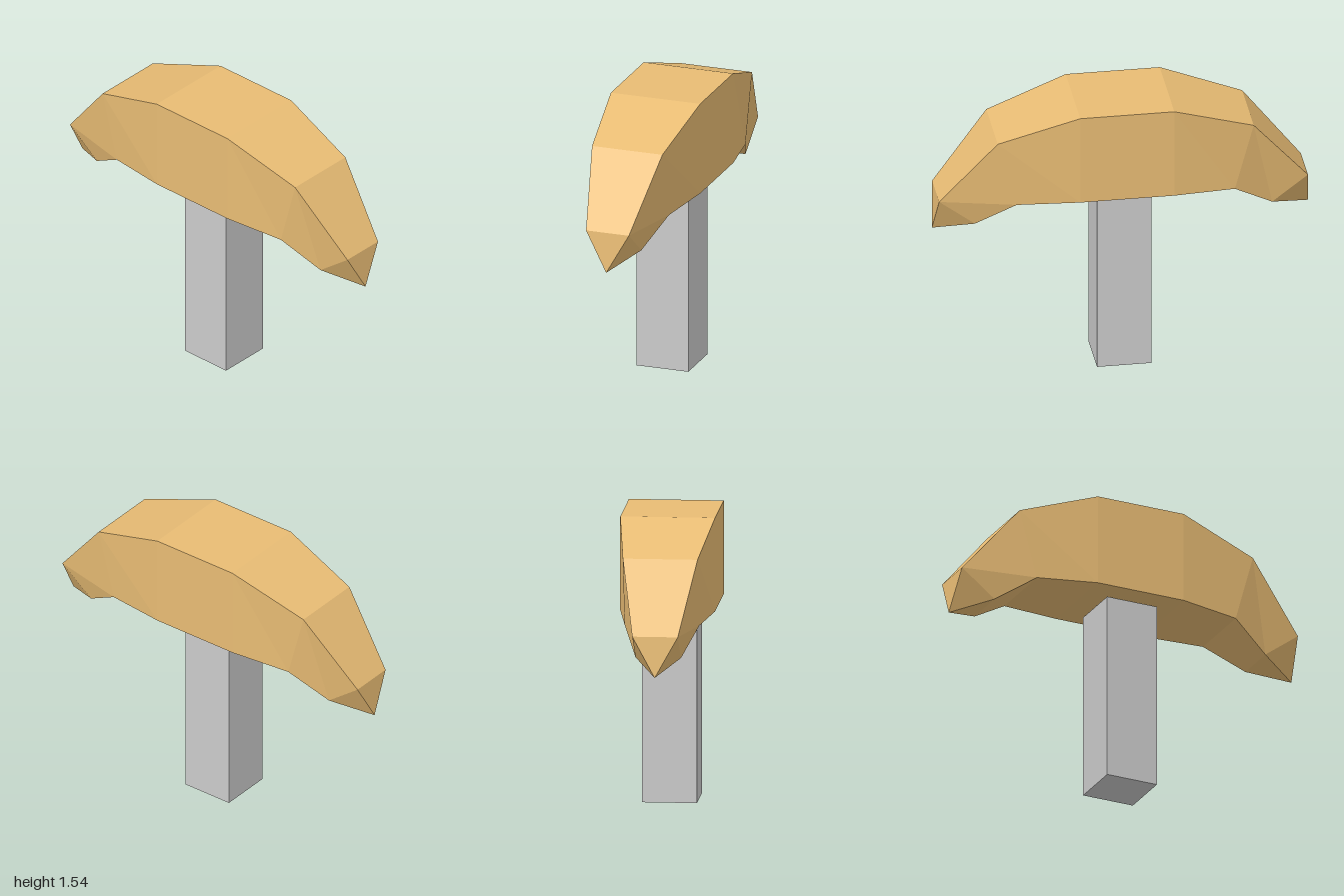
import * as THREE from 'three';

// Half of the head, centre outwards: half width, top [z, y], bottom [z, y]
const HALF = [
  { w: 0.25, top: [0.25, 1.545], bottom: [0.25, 1.045] },
  { w: 0.197, top: [0.68, 1.4], bottom: [0.58, 1.03] },
  { w: 0.12, top: [0.98, 1.04], bottom: [0.79, 0.895] },
  { w: 0, top: [1, 0.825], bottom: [1, 0.825] }, // pointed tip
];

// Four corners of a section, counterclockwise seen from +z
function ring({ w, top, bottom }, side) {
  const corner = (x, [z, y]) => new THREE.Vector3(x, y, z * side);
  return [corner(-w, bottom), corner(w, bottom), corner(w, top), corner(-w, top)];
}

function headGeometry() {
  const rings = [
    ...[...HALF].reverse().map((s) => ring(s, -1)),
    ...HALF.map((s) => ring(s, 1)),
  ];
  const points = [];
  const triangle = (a, b, c) => {
    // Triangles collapsed at the tips are left out
    if (a.equals(b) || b.equals(c) || c.equals(a)) return;
    points.push(a, b, c);
  };
  for (let i = 0; i < rings.length - 1; i++) {
    for (let j = 0; j < 4; j++) {
      const k = (j + 1) % 4;
      const [a, b, c, d] = [rings[i][j], rings[i][k], rings[i + 1][k], rings[i + 1][j]];
      triangle(a, b, c);
      triangle(a, c, d);
    }
  }
  const geometry = new THREE.BufferGeometry().setFromPoints(points);
  geometry.computeVertexNormals();
  return geometry;
}

export function createModel() {
  const model = new THREE.Group();
  model.name = 'pickaxe';

  // Curved double-pointed head
  const head = new THREE.Mesh(
    headGeometry(),
    new THREE.MeshStandardMaterial({ color: 0xe8bc74, flatShading: true }),
  );
  head.name = 'head';

  // Square handle standing on the ground
  const handle = new THREE.Mesh(
    new THREE.BoxGeometry(0.29, 1.03, 0.29),
    new THREE.MeshStandardMaterial({ color: 0xcccccc, flatShading: true }),
  );
  handle.name = 'handle';
  handle.position.y = 0.515;

  model.add(head, handle);
  return model;
}
